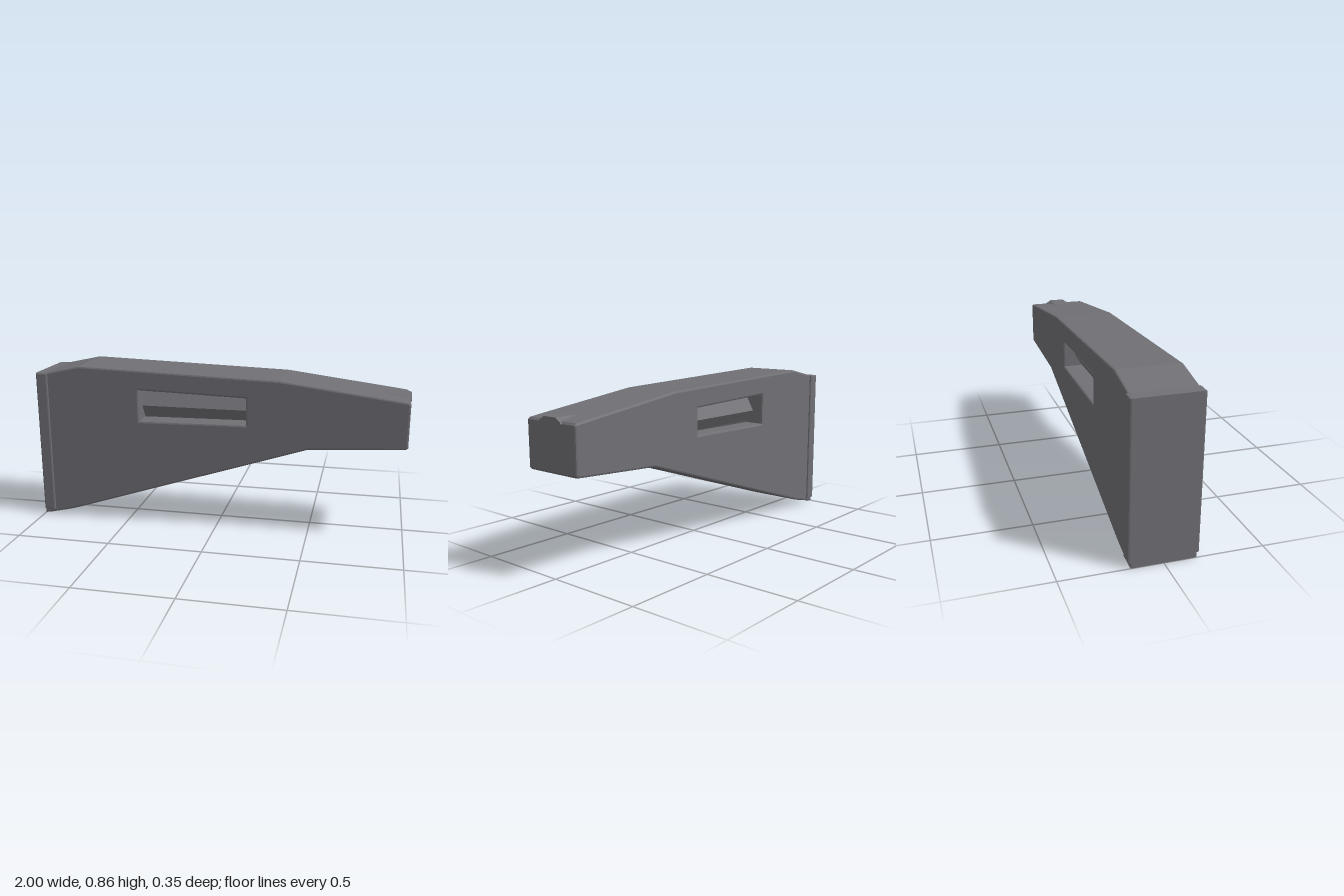
import * as THREE from 'three';

// Turns [x, y] pairs into a closed outline
const outline = (pts, Type = THREE.Shape) => new Type(pts.map(p => new THREE.Vector2(p[0], p[1])));

// Extrudes an outline, centred on z, with bevels that stay inside the outline
function slab(shape, depth, bevel, segments) {
  const geo = new THREE.ExtrudeGeometry(shape, {
    depth: depth - 2 * bevel, bevelEnabled: bevel > 0, bevelThickness: bevel,
    bevelSize: bevel, bevelOffset: -bevel, bevelSegments: segments,
  });
  return geo.translate(0, 0, -depth / 2 + bevel);
}

export function createModel() {
  const group = new THREE.Group();
  const grey = new THREE.MeshStandardMaterial({ color: 0x707075 });
  grey.name = 'dark grey polymer';
  const add = (name, geo) => {
    const mesh = new THREE.Mesh(geo, grey);
    mesh.name = name;
    group.add(mesh);
    return mesh;
  };

  // Tapered body with a slot through it
  const side = outline([
    [-1, 0.003], [-0.97, 0.007], [-0.83, 0.04], [0.49, 0.472], [0.985, 0.502], [0.995, 0.512],
    [0.995, 0.738], [0.985, 0.748], [0.87, 0.763], [0.34, 0.83], [-0.75, 0.865],
    [-0.94, 0.823], [-1, 0.82],
  ]);
  side.holes.push(outline([[-0.42, 0.578], [-0.42, 0.747], [0.162, 0.73], [0.162, 0.587]], THREE.Path));
  add('body', slab(side, 0.33, 0.01, 2));

  // Faceted bar that fills the middle of the slot
  const half = [[0.57, 0.05], [0.59, 0.06], [0.65, 0.1], [0.72, 0.06], [0.76, 0.045]];
  const section = outline([
    ...half.map(([y, z]) => [-z, y]),
    ...half.slice().reverse().map(([y, z]) => [z, y]),
  ]);
  const bar = add('slotBar', new THREE.ExtrudeGeometry(section, { depth: 0.6, bevelEnabled: false }));
  bar.rotation.y = Math.PI / 2;
  bar.position.x = -0.43;

  // Slightly wider band at the tall end
  const band = outline([
    [-1, 0.03], [-0.935, 0.03], [-0.935, 0.822], [-1, 0.82],
  ]);
  add('endBand', slab(band, 0.348, 0.008, 2));

  // Low raised ridge at the narrow tip
  const ridge = outline([[-0.075, 0.735], [0.075, 0.735], [0.07, 0.745], [0.04, 0.764], [-0.04, 0.764], [-0.07, 0.745]]);
  const tip = add('tipRidge', new THREE.ExtrudeGeometry(ridge, { depth: 0.15, bevelEnabled: false }));
  tip.rotation.y = Math.PI / 2;
  tip.position.x = 0.85;

  return group;
}
